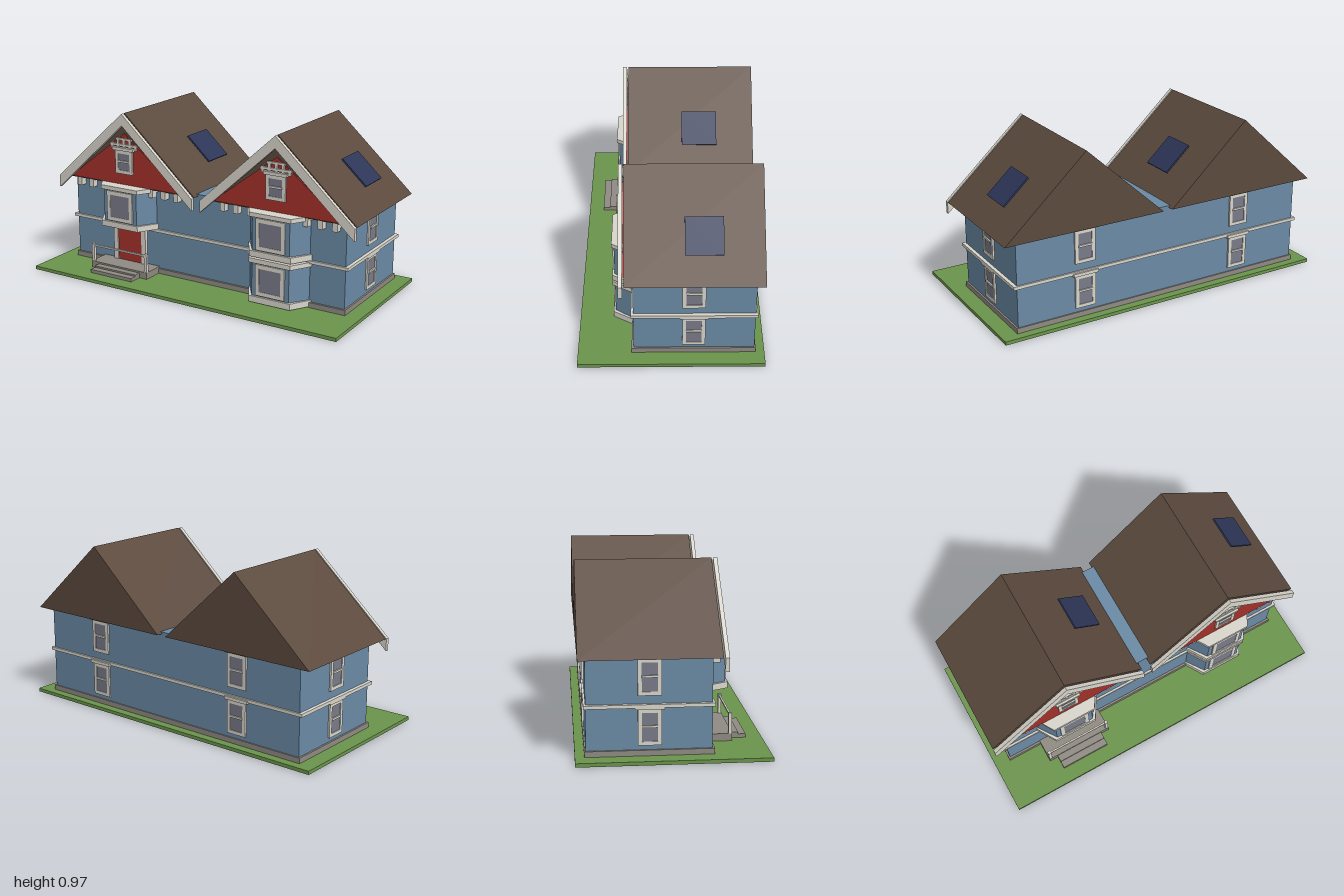
import * as THREE from 'three';

const mat = (name, color) => {
  const m = new THREE.MeshStandardMaterial({ color });
  m.name = name;
  return m;
};

export function createModel() {
  const blue = mat('blue siding', 0x6a8aa5);
  const red = mat('red paint', 0xa33029);
  const trim = mat('off-white trim', 0xd8d5cb);
  const brown = mat('brown roof', 0x5c4a3e);
  const glass = mat('grey glass', 0x787a88);
  const stone = mat('grey stone', 0x8f8a82);
  const grass = mat('green lawn', 0x6b944c);
  const navy = mat('navy panel', 0x2d3658);

  const model = new THREE.Group();
  model.name = 'duplexHouse';

  const add = (parent, name, geo, material, x = 0, y = 0, z = 0) => {
    const mesh = new THREE.Mesh(geo, material);
    mesh.name = name;
    mesh.position.set(x, y, z);
    parent.add(mesh);
    return mesh;
  };
  // Box given by its lower and upper bounds on each axis
  const box = (parent, name, material, x0, x1, y0, y1, z0, z1) =>
    add(parent, name, new THREE.BoxGeometry(x1 - x0, y1 - y0, z1 - z0), material,
      (x0 + x1) / 2, (y0 + y1) / 2, (z0 + z1) / 2);
  const extrude = (points, depth) => new THREE.ExtrudeGeometry(
    new THREE.Shape(points.map(p => new THREE.Vector2(...p))), { depth, bevelEnabled: false });
  const group = (parent, name, x = 0, y = 0, z = 0) => {
    const g = new THREE.Group();
    g.name = name;
    g.position.set(x, y, z);
    parent.add(g);
    return g;
  };

  // Frame of four bars around a glass pane, facing +z
  const framedPane = (g, w, h, rim, depth) => {
    const shape = new THREE.Shape([[-1, -1], [1, -1], [1, 1], [-1, 1]]
      .map(([a, b]) => new THREE.Vector2(a * w / 2, b * h / 2)));
    shape.holes.push(new THREE.Path([[-1, -1], [-1, 1], [1, 1], [1, -1]]
      .map(([a, b]) => new THREE.Vector2(a * (w / 2 - rim), b * (h / 2 - rim)))));
    add(g, 'windowFrame', new THREE.ExtrudeGeometry(shape, { depth, bevelEnabled: false }), trim);
    const gw = w / 2 - rim, gh = h / 2 - rim;
    box(g, 'windowGlass', glass, -gw, gw, -gh, gh, 0, 0.006);
  };
  // Sash window with middle bar and header
  const sashWindow = (parent, w, h, rim, headerW) => {
    const g = group(parent, 'sashWindow');
    framedPane(g, w, h, rim, 0.01);
    box(g, 'sashBar', trim, -w / 2 + rim, w / 2 - rim, -0.002, 0.009, 0, 0.014);
    box(g, 'windowHeader', trim, -headerW / 2, headerW / 2, h / 2, h / 2 + 0.018, 0, 0.02);
    return g;
  };

  // Lawn, foundation, walls and belt course
  box(model, 'lawn', grass, -1, 1, 0, 0.02, -0.5, 0.5);
  box(model, 'foundation', stone, -0.91, 0.91, 0.02, 0.05, -0.452, 0.212);
  box(model, 'walls', blue, -0.9, 0.9, 0.05, 0.545, -0.445, 0.2);
  box(model, 'beltCourse', trim, -0.92, 0.92, 0.273, 0.291, -0.455, 0.212);

  // Side and back windows on both floors
  for (const y of [0.17, 0.43]) {
    for (const s of [-1, 1]) {
      const side = sashWindow(model, 0.122, 0.19, 0.02, 0.15);
      side.position.set(0.9 * s, y, -0.12);
      side.rotation.y = s * Math.PI / 2;
      const back = sashWindow(model, 0.122, 0.19, 0.02, 0.15);
      back.position.set(0.5 * s, y, -0.445);
      back.rotation.y = Math.PI;
    }
  }

  // Trapezoid slab standing out from the front wall
  const baySlab = (parent, name, material, back, front, z, y0, y1) => {
    const geo = extrude([[-back, -0.195], [-front, -z], [front, -z], [back, -0.195]], y1 - y0);
    geo.rotateX(-Math.PI / 2);
    add(parent, name, geo, material, 0, y0, 0);
  };
  const bay = (parent, y0, y1, baseH, capH) => {
    const g = group(parent, 'bayWindow');
    baySlab(g, 'bayBase', trim, 0.2, 0.128, 0.316, y0, y0 + baseH);
    baySlab(g, 'bayWalls', blue, 0.19, 0.115, 0.304, y0 + baseH, y1 - capH);
    baySlab(g, 'bayCap', trim, 0.2, 0.128, 0.316, y1 - capH, y1);
    const pane = group(g, 'bayPane', 0, (y0 + baseH + y1 - capH) / 2, 0.304);
    framedPane(pane, 0.18, 0.18, 0.023, 0.008);
  };

  // One gabled half of the house
  const R = 0.475, EAVE = 0.535, RIDGE = 0.967, DROP = 0.07;
  const gabledHalf = (name, x) => {
    const g = group(model, name, x);
    add(g, 'roof', extrude([[-R, EAVE], [R, EAVE], [0, RIDGE]], 0.725), brown, 0, 0, -0.483);
    add(g, 'redGable', extrude([[-0.4, 0.542], [0.4, 0.542], [0, 0.847]], 0.012), red, 0, 0, 0.238);
    add(g, 'bargeboards', extrude([[-R, EAVE], [-R, EAVE - DROP], [0, RIDGE - DROP],
      [R, EAVE - DROP], [R, EAVE], [0, RIDGE]], 0.022), trim, 0, 0, 0.25);

    // Gable window and timber lattice
    sashWindow(g, 0.12, 0.14, 0.02, 0.145).position.set(0, 0.678, 0.25);
    box(g, 'latticeBar', trim, -0.095, 0.095, 0.772, 0.786, 0.25, 0.26);
    box(g, 'latticeBar', trim, -0.055, 0.055, 0.808, 0.82, 0.25, 0.26);
    for (const px of [-0.082, -0.042, 0, 0.042, 0.082]) {
      const top = Math.abs(px) > 0.05 ? 0.79 : 0.81;
      box(g, 'latticePost', trim, px - 0.008, px + 0.008, 0.755, top, 0.25, 0.258);
    }

    // Eave brackets
    for (const bx of [0.172, 0.259, 0.346]) {
      for (const s of [-1, 1]) {
        box(g, 'eaveBracket', trim, s * bx - 0.015, s * bx + 0.015, 0.487, 0.537, 0.2, 0.24);
      }
    }

    // Solar panel raised above the slope
    const panel = add(g, 'solarPanel', new THREE.BoxGeometry(0.2, 0.01, 0.2), navy, 0.3, 0.729, -0.17);
    panel.rotation.z = -Math.atan2(RIDGE - EAVE, R);

    bay(g, 0.29, 0.54, 0.034, 0.024);
    return g;
  };
  const entrySide = gabledHalf('entryHalf', -0.502);
  const baySide = gabledHalf('bayHalf', 0.502);

  // Ground-floor bay
  bay(baySide, 0.025, 0.28, 0.036, 0.026);

  // Front door with frame
  box(entrySide, 'door', red, -0.085, 0.085, 0.06, 0.29, 0.2, 0.216);
  for (const s of [-1, 1]) {
    box(entrySide, 'doorJamb', trim, s * 0.1 - 0.015, s * 0.1 + 0.015, 0.06, 0.29, 0.2, 0.222);
  }

  // Porch, steps and railing
  box(entrySide, 'porchFloor', stone, -0.2, 0.2, 0.02, 0.06, 0.2, 0.333);
  box(entrySide, 'upperStep', stone, -0.148, 0.148, 0.02, 0.05, 0.333, 0.373);
  box(entrySide, 'lowerStep', stone, -0.148, 0.148, 0.02, 0.04, 0.373, 0.413);
  for (const s of [-1, 1]) {
    box(entrySide, 'railingPost', trim, s * 0.19 - 0.009, s * 0.19 + 0.009, 0.06, 0.171, 0.313, 0.331);
  }
  box(entrySide, 'handrail', trim, -0.19, 0.19, 0.154, 0.164, 0.317, 0.327);

  return model;
}
